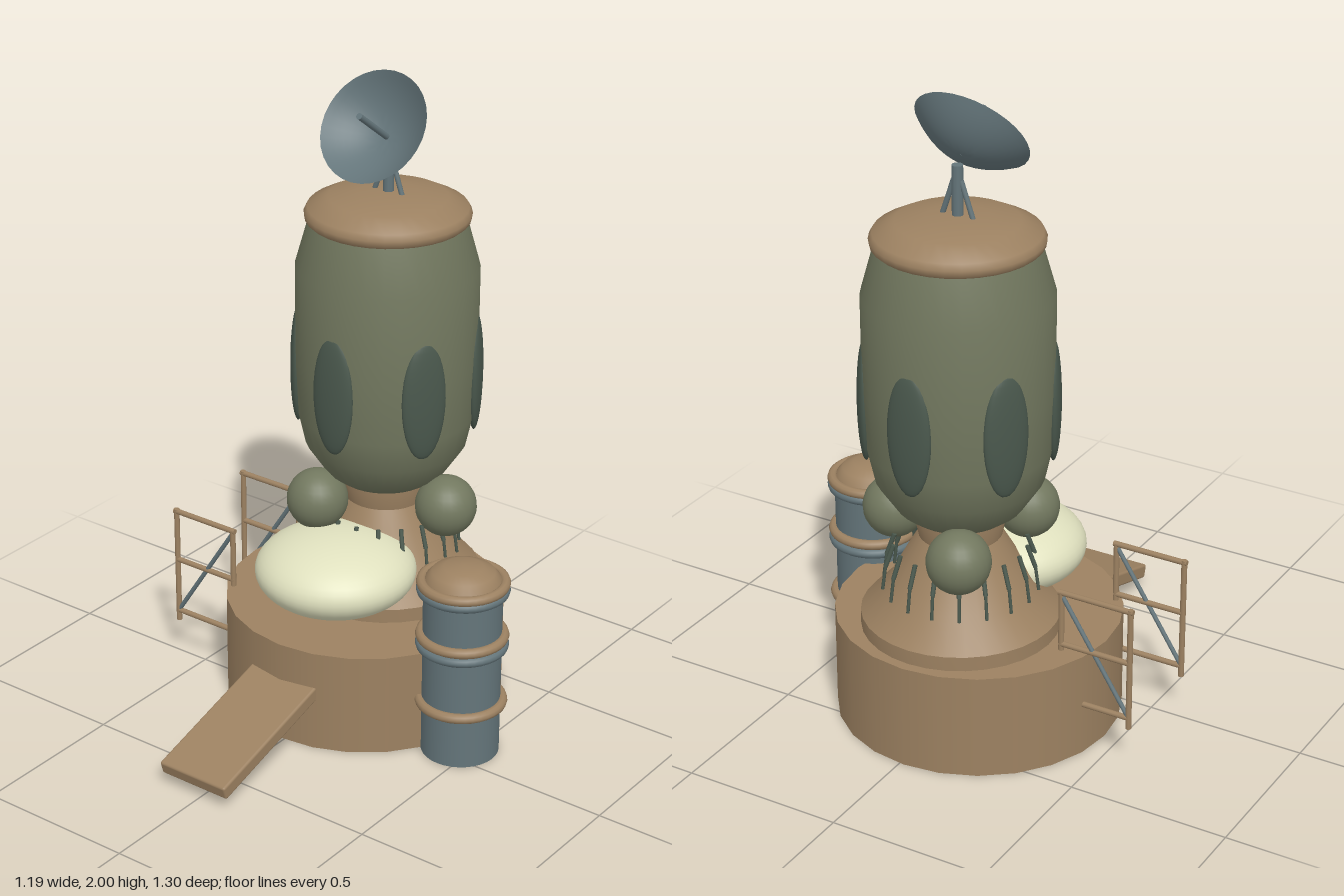
import * as THREE from 'three';
import { toCreasedNormals } from 'three/addons/utils/BufferGeometryUtils.js';
import { RoundedBoxGeometry } from 'three/addons/geometries/RoundedBoxGeometry.js';

const material = (name, color, side = THREE.FrontSide) => {
  const m = new THREE.MeshStandardMaterial({ color, side });
  m.name = name;
  return m;
};

export function createModel() {
  const brown = material('tan brown', 0x9c8161);
  const green = material('olive green', 0x72785f);
  const dark = material('dark green', 0x4a584d);
  const cream = material('pale cream', 0xdfe0be);
  const slate = material('slate', 0x64757a, THREE.DoubleSide);

  const CX = -0.015, TZ = -0.315; // tower axis
  const model = new THREE.Group();
  model.name = 'outpost';

  const add = (parent, name, geometry, mat, x = 0, y = 0, z = 0) => {
    const mesh = new THREE.Mesh(geometry, mat);
    mesh.name = name;
    mesh.position.set(x, y, z);
    parent.add(mesh);
    return mesh;
  };
  const group = (name, x = 0, y = 0, z = 0) => {
    const g = new THREE.Group();
    g.name = name;
    g.position.set(x, y, z);
    model.add(g);
    return g;
  };
  const lathe = (points, crease = 0.6, sides = 32) => toCreasedNormals(
    new THREE.LatheGeometry(points.map(([r, y]) => new THREE.Vector2(r, y)), sides), crease);
  // straight round bar between two points
  const rod = (parent, name, a, b, r, mat) => {
    const from = new THREE.Vector3(...a), to = new THREE.Vector3(...b);
    const dir = to.clone().sub(from);
    const mesh = add(parent, name, new THREE.CylinderGeometry(r, r, dir.length(), 10), mat);
    mesh.position.copy(from).add(to).multiplyScalar(0.5);
    mesh.quaternion.setFromUnitVectors(new THREE.Vector3(0, 1, 0), dir.normalize());
    return mesh;
  };

  // Foundation
  add(model, 'base', new THREE.CylinderGeometry(0.437, 0.437, 0.33, 24), brown, CX, 0.165, -0.21);

  // Tower: pedestal, body and cap
  const tower = group('tower', CX, 0, TZ);
  add(tower, 'pedestal', lathe([[0.3, 0.325], [0.3, 0.375], [0.22, 0.46], [0.16, 0.57],
    [0.125, 0.63], [0.135, 0.68], [0.135, 0.74]]), brown);
  add(tower, 'body', lathe([[0, 0.7], [0.15, 0.7], [0.19, 0.73], [0.25, 0.82], [0.272, 0.92],
    [0.28, 1.1], [0.28, 1.4], [0.238, 1.55]], 0.9), green);
  add(tower, 'cap', lathe([[0.2, 1.54], [0.236, 1.54], [0.25, 1.552], [0.253, 1.57], [0.243, 1.588],
    [0.18, 1.62], [0.09, 1.632], [0, 1.637]], 0.9), brown);

  // Oval panels around the body
  for (let i = 0; i < 6; i++) {
    const a = i * Math.PI / 3;
    const panel = add(tower, 'ovalPanel', new THREE.SphereGeometry(1, 24, 16), dark,
      Math.sin(a) * 0.272, 1.06, Math.cos(a) * 0.272);
    panel.scale.set(0.072, 0.192, 0.024);
    panel.rotation.y = a;
  }

  // Round tanks below the body
  for (let i = 0; i < 3; i++) {
    const a = i * Math.PI * 2 / 3;
    add(tower, 'roundTank', new THREE.SphereGeometry(0.096, 24, 16), green,
      Math.cos(a) * 0.23, 0.655, Math.sin(a) * 0.23);
  }

  // Thin struts around the pedestal
  for (let i = 0; i < 18; i++) {
    const a = i * Math.PI / 9, s = Math.sin(a), c = Math.cos(a);
    rod(tower, 'strut', [c * 0.2, 0.6, s * 0.2], [c * 0.225, 0.53, s * 0.225], 0.007, dark);
    rod(tower, 'strutFoot', [c * 0.225, 0.53, s * 0.225], [c * 0.235, 0.455, s * 0.235], 0.005, dark);
  }

  // Antenna mast with side braces
  const antenna = group('antenna', CX, 0, TZ);
  rod(antenna, 'mast', [0, 1.62, 0], [0, 1.785, 0], 0.017, slate);
  for (const s of [-1, 1]) {
    rod(antenna, 'mastBrace', [s * 0.052, 1.625, 0], [s * 0.012, 1.74, 0], 0.008, slate);
  }

  // Dish, tilted up and forward
  const dish = group('dish', CX, 1.858, -0.235);
  dish.rotation.x = 0.936;
  const bowl = [];
  for (let i = 0; i <= 10; i++) {
    const t = i / 10;
    bowl.push([0.177 * t, -0.085 * (1 - t * t)]);
  }
  add(dish, 'bowl', lathe(bowl, 1), slate);
  rod(dish, 'feed', [0, -0.085, 0], [0, 0.085, 0], 0.01, slate);

  // Pale dome resting on the base
  add(model, 'paleDome', new THREE.SphereGeometry(0.25, 40, 24), cream, CX, 0.472, -0.057)
    .scale.y = 0.49;

  // Storage cylinder with hoops
  const tank = group('storageTank', 0.455, 0, -0.065);
  add(tank, 'tankWall', new THREE.CylinderGeometry(0.12, 0.12, 0.58, 32), slate, 0, 0.29, 0);
  add(tank, 'tankLid', lathe([[0.118, 0.575], [0.114, 0.59], [0.095, 0.612], [0.06, 0.627], [0, 0.632]], 0.9), brown);
  const hoop = (name, y, mat) => {
    add(tank, name, new THREE.TorusGeometry(0.126, 0.016, 10, 36), mat, 0, y, 0).rotation.x = Math.PI / 2;
  };
  for (const y of [0.175, 0.4, 0.577]) hoop('hoop', y, brown);
  for (const y of [0.37, 0.555]) hoop('innerHoop', y, slate);

  // Entry ramp
  const ramp = add(model, 'ramp', new RoundedBoxGeometry(0.248, 0.046, 0.475, 2, 0.008), brown, CX, 0.126, 0.42);
  ramp.rotation.x = 0.29;

  // Two railing frames on the right side
  for (const z of [-0.318, 0.02]) {
    const frame = group('railingFrame', 0, 0, z);
    rod(frame, 'outerPost', [-0.588, 0.13, 0], [-0.588, 0.53, 0], 0.009, brown);
    rod(frame, 'innerPost', [-0.36, 0.32, 0], [-0.36, 0.525, 0], 0.009, brown);
    rod(frame, 'topRail', [-0.597, 0.522, 0], [-0.351, 0.522, 0], 0.009, brown);
    rod(frame, 'middleRail', [-0.588, 0.35, 0], [-0.355, 0.35, 0], 0.009, brown);
    rod(frame, 'lowerRail', [-0.588, 0.165, 0], [-0.375, 0.165, 0], 0.009, brown);
    rod(frame, 'diagonal', [-0.588, 0.165, 0], [-0.36, 0.515, 0], 0.007, slate);
  }

  return model;
}
